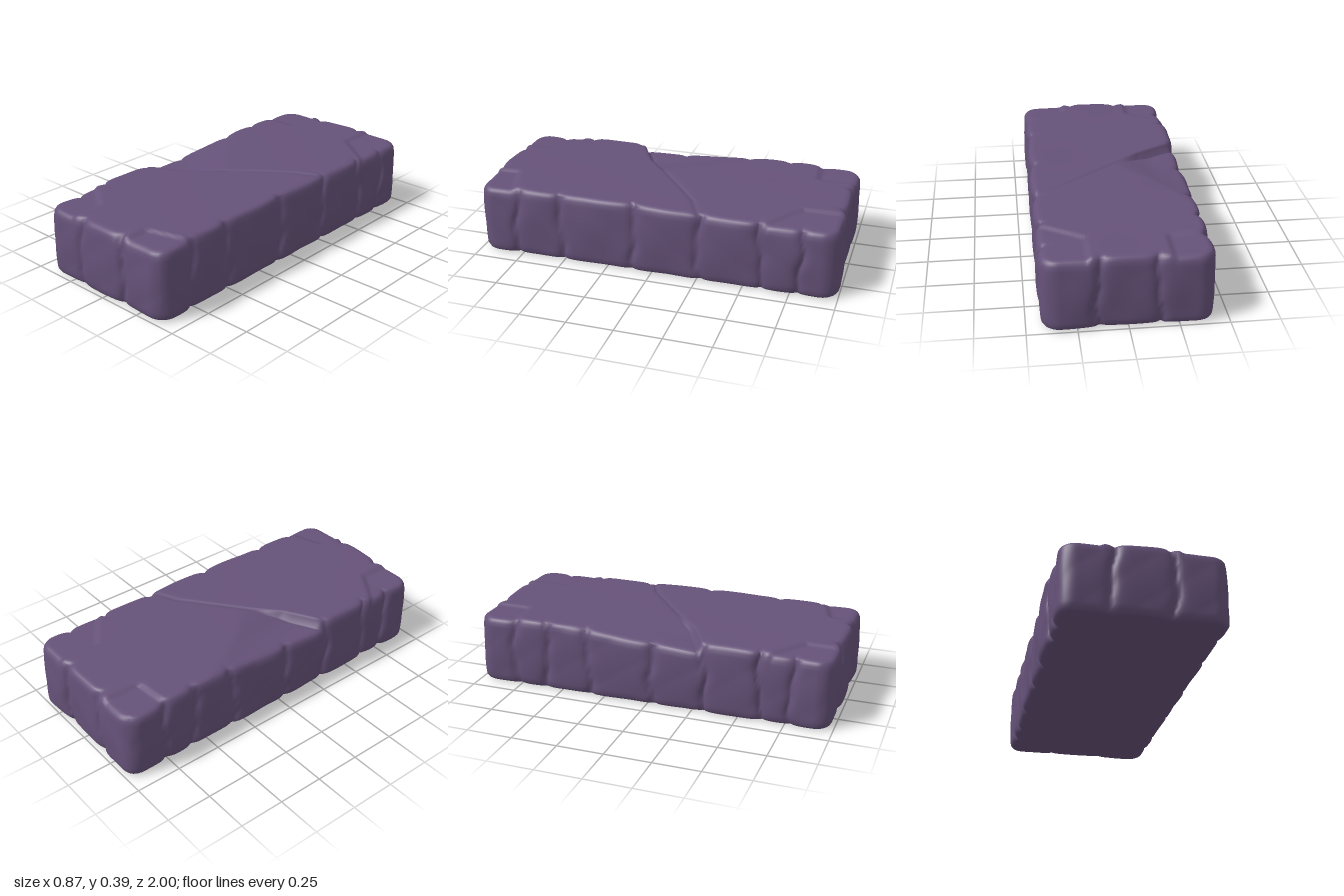
import * as THREE from 'three';
import { mergeVertices } from 'three/addons/utils/BufferGeometryUtils.js';

const W = 0.424, L = 0.99, H = 0.394;   // half width, half length, height
const R = 0.09, EDGE = 0.035;           // plan corner radius, top and bottom edge radius

// Seams between the rim stones on each side
const SEAMS = {
  right: [-0.8, -0.59, -0.26, 0.1, 0.51, 0.77],
  left: [-0.77, -0.58, -0.33, 0.03, 0.32, 0.61, 0.78],
  front: [-0.16, 0.14],
  back: [-0.15, 0.15],
};

// Lowered corner stones: x sign, z sign, x start, z start, slant of the break
const CORNERS = [
  [-1, -1, 0.2, 0.76, 0.05], [1, -1, 0.18, 0.76, 0.7],
  [-1, 1, 0.2, 0.8, 0.7], [1, 1, 0.17, 0.84, 0.3],
];

const { clamp, smoothstep, lerp } = THREE.MathUtils;
const hash = (n) => { const s = Math.sin(n * 127.1 + 3.7) * 43758.5; return s - Math.floor(s); };

// Long diagonal break across the top: z as a function of x
const BREAK = [[-0.44, 0.32], [-0.2, 0.19], [-0.04, 0.05], [0.12, -0.08], [0.26, -0.19], [0.44, -0.27]];
function breakZ(x) {
  for (let i = 1; i < BREAK.length; i++) {
    const [x0, z0] = BREAK[i - 1], [x1, z1] = BREAK[i];
    if (x <= x1) return lerp(z0, z1, clamp((x - x0) / (x1 - x0), 0, 1));
  }
  return -0.27;
}

// Inward groove (0..1) and outward offset of the stone at position t on one side
function rim(seams, t, y, seed) {
  let groove = 0, stone = 0;
  seams.forEach((s, i) => {
    const at = s + 0.012 * Math.sin(y * 13 + i * 2.3 + seed) - 0.006 * Math.sin(y * 31 + i);
    if (t > at) stone = i + 1;
    groove = Math.max(groove, Math.exp(-Math.abs(t - at) / 0.02));
  });
  const id = stone + seed * 11;
  const tilt = (hash(id + 0.5) - 0.5) * 0.03 * (y - H / 2);
  return { groove, offset: (hash(id) - 0.6) * 0.01 + tilt - 0.026 * groove };
}

// Shallow dressing marks on the stone faces
const chisel = (a, y) =>
  0.003 * Math.sin(a * 17 + y * 9) + 0.0025 * Math.abs(Math.sin(a * 11 - y * 14 + 1)) - 0.002;

// How far the top surface is lowered at a point
function topDrop(x, z, behind) {
  let drop = 0.003 + 0.002 * Math.sin(x * 9 + z * 4) + 0.002 * Math.sin(z * 7 - x * 5);
  // sunken wedge behind the break on one side, thin crack on the other
  if (behind > 0) {
    const reach = Math.max(0.03, (-x - 0.03) * 1.55);
    const depth = 0.05 * smoothstep(-x, 0.03, 0.28);
    drop += depth * Math.max(0, 1 - behind / reach);
  }
  drop += 0.009 * Math.exp(-Math.abs(behind) / 0.009);
  for (const [sx, sz, cx, cz, slant] of CORNERS) {
    const u = sx * x - cx, v = sz * z - cz + slant * u;
    drop += 0.014 * smoothstep(Math.min(u, v), 0, 0.025);
  }
  return drop;
}

function slabGeometry() {
  let geo = new THREE.BoxGeometry(2 * W, H, 2 * L, 64, 16, 160);
  geo.deleteAttribute('uv');
  geo.deleteAttribute('normal');
  geo = mergeVertices(geo, 1e-5);
  const pos = geo.attributes.position;
  for (let i = 0; i < pos.count; i++) {
    let x = pos.getX(i), y = pos.getY(i) + H / 2, z = pos.getZ(i);

    // bend the grid so its middle row follows the break
    const shift = breakZ(x) * (1 - Math.abs(z) / L);
    const behind = -z;
    z += shift;

    // round the corners in plan
    const qx = clamp(x, -W + R, W - R), qz = clamp(z, -L + R, L - R);
    const dx = x - qx, dz = z - qz, len = Math.hypot(dx, dz);
    let m = Math.max(Math.abs(dx), Math.abs(dz));
    const nx = len > 0 ? dx / len : 0, nz = len > 0 ? dz / len : 0;

    // round the top and bottom edges
    const a = m - (R - EDGE), qy = clamp(y, EDGE, H - EDGE), b = y - qy;
    if (a > 0 && b !== 0) {
      const k = Math.max(a, Math.abs(b)) / Math.hypot(a, b);
      m = R - EDGE + a * k;
      y = qy + b * k;
    }

    // push the rim stones out and cut the seams between them
    const side = rim(nx > 0 ? SEAMS.right : SEAMS.left, z, y, nx > 0 ? 1 : 2);
    const end = rim(nz > 0 ? SEAMS.front : SEAMS.back, x, y, nz > 0 ? 3 : 4);
    const wx = nx * nx, wz = nz * nz, w = clamp(m / R, 0, 1);
    const bulge = 0.008 * Math.sin(Math.PI * clamp(y / H, 0, 1));
    m += w * (bulge + wx * (side.offset + chisel(z, y)) + wz * (end.offset + chisel(x + 2, y)));

    // lower the top along breaks, corner stones and seams
    const groove = wx * side.groove + wz * end.groove;
    const px = qx + nx * m, pz = qz + nz * m;
    const drop = topDrop(px, pz, behind) + 0.014 * groove * w * w;
    y -= drop * smoothstep(y, 0, H);
    pos.setXYZ(i, px, y, pz);
  }
  geo.computeVertexNormals();
  return geo;
}

export function createModel() {
  const group = new THREE.Group();
  group.name = 'stoneBlock';
  const stone = new THREE.MeshStandardMaterial({ color: 0x665279 });
  stone.name = 'purpleStone';
  const slab = new THREE.Mesh(slabGeometry(), stone);
  slab.name = 'crackedSlab';
  group.add(slab);
  return group;
}
